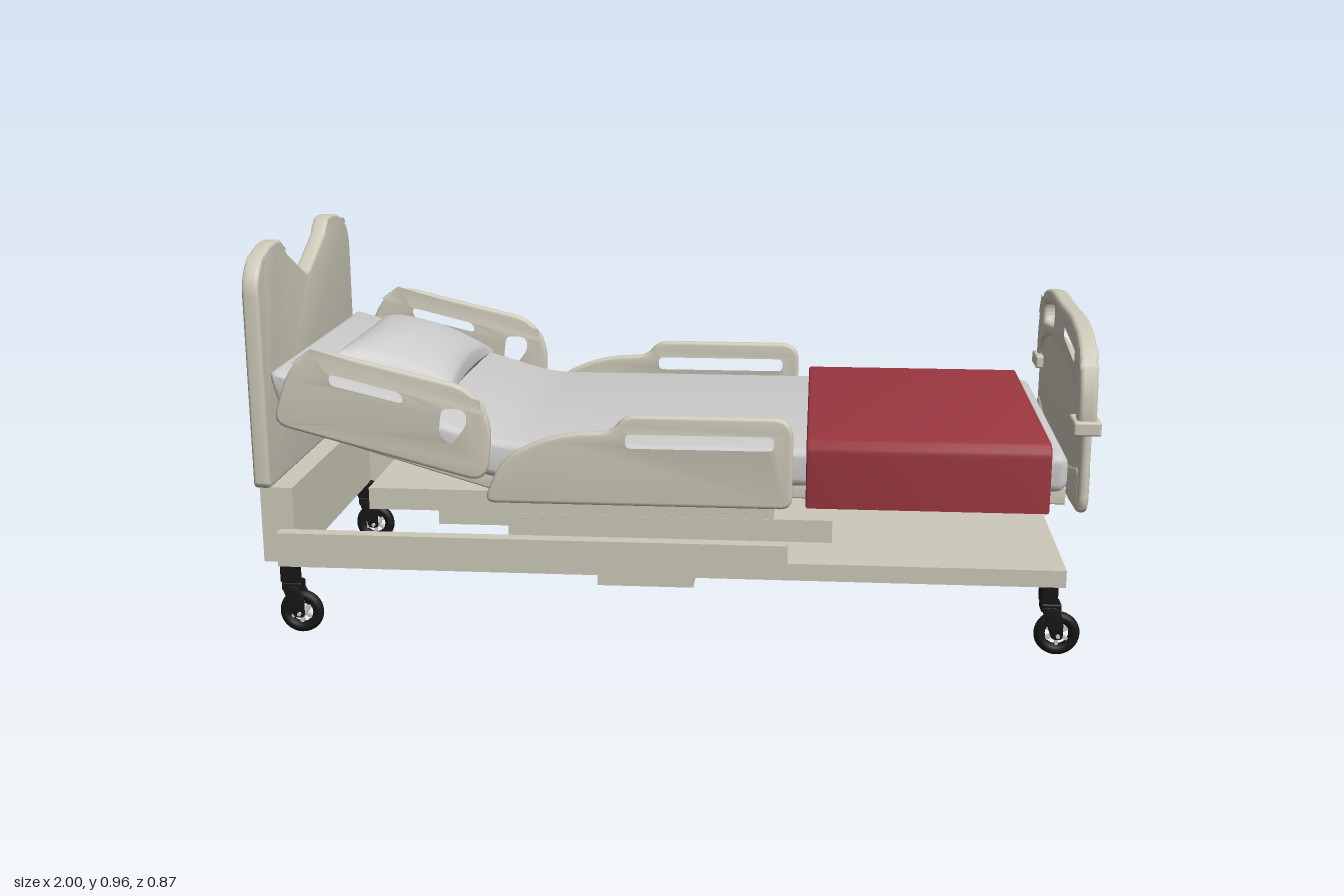
import * as THREE from 'three';
import { toCreasedNormals } from 'three/addons/utils/BufferGeometryUtils.js';
import { RoundedBoxGeometry } from 'three/addons/geometries/RoundedBoxGeometry.js';

const mat = (color) => new THREE.MeshStandardMaterial({ color });
const beige = mat(0xcdc9b9), grey = mat(0xcccccc), red = mat(0x9c3740), black = mat(0x161616);

function add(parent, name, geometry, material, x = 0, y = 0, z = 0) {
  const m = new THREE.Mesh(geometry, material);
  m.name = name;
  m.position.set(x, y, z);
  parent.add(m);
  return m;
}

// Box given by its limits on each axis
function block(parent, name, [x0, x1], [y0, y1], [z0, z1], material = beige, r = 0) {
  const s = [x1 - x0, y1 - y0, z1 - z0];
  const g = r ? new RoundedBoxGeometry(...s, 3, r) : new THREE.BoxGeometry(...s);
  return add(parent, name, g, material, (x0 + x1) / 2, (y0 + y1) / 2, (z0 + z1) / 2);
}

// Closed outline from corners [x, y, cornerLength]
function rounded(corners, path = new THREE.Shape()) {
  const n = corners.length;
  corners.forEach(([x, y, r = 0], i) => {
    const c = new THREE.Vector2(x, y);
    const toward = ([px, py]) => {
      const d = new THREE.Vector2(px, py).sub(c);
      return c.clone().addScaledVector(d.normalize(), r);
    };
    const a = toward(corners[(i + n - 1) % n]), b = toward(corners[(i + 1) % n]);
    if (i === 0) path.moveTo(a.x, a.y); else path.lineTo(a.x, a.y);
    if (r) path.quadraticCurveTo(x, y, b.x, b.y);
  });
  path.closePath();
  return path;
}

// Slab with softened edges, centred on its thickness
function slab(outline, holes, thick, bevel) {
  const shape = rounded(outline);
  shape.holes = holes.map((h) => rounded(h, new THREE.Path()));
  const g = new THREE.ExtrudeGeometry(shape, {
    depth: thick - 2 * bevel, bevelEnabled: true, bevelThickness: bevel, bevelSize: bevel,
    bevelOffset: -bevel, bevelSegments: 3, curveSegments: 8,
  });
  g.translate(0, 0, bevel - thick / 2);
  return toCreasedNormals(g, 0.7);
}

// Half outline plus its mirror image
const mirror = (half) => [...half, ...half.filter((p) => p[0] !== 0).reverse().map(([x, y, r]) => [-x, y, r])];

function caster(parent, x, z) {
  const g = new THREE.Group();
  g.name = 'caster';
  g.position.set(x, 0, z);
  parent.add(g);
  block(g, 'casterStem', [-0.021, 0.021], [0.132, 0.182], [-0.021, 0.021], black, 0.005);
  block(g, 'casterNeck', [-0.018, 0.03], [0.112, 0.134], [-0.022, 0.022], black, 0.005);
  for (const s of [-1, 1]) {
    const fork = [[-0.018, 0.125, 0.005], [-0.005, 0.09, 0.01], [0.01, 0.045, 0.01], [0.036, 0.045, 0.01], [0.036, 0.1, 0.015], [0.02, 0.125, 0.01]];
    add(g, 'casterFork', slab(fork, [], 0.005, 0.001), black, 0, 0, s * 0.021);
  }
  const wheel = new THREE.Group();
  wheel.name = 'casterWheel';
  wheel.position.set(0.024, 0.055, 0);
  g.add(wheel);
  add(wheel, 'tire', new THREE.TorusGeometry(0.041, 0.0135, 12, 32), black);
  add(wheel, 'hub', new THREE.CylinderGeometry(0.014, 0.014, 0.03, 16).rotateX(Math.PI / 2), grey);
  add(wheel, 'axle', new THREE.CylinderGeometry(0.005, 0.005, 0.06, 10).rotateX(Math.PI / 2), grey);
  for (let i = 0; i < 6; i++) {
    const spoke = new THREE.BoxGeometry(0.008, 0.034, 0.012).translate(0, 0.018, 0).rotateZ(i * Math.PI / 3);
    add(wheel, 'spoke', spoke, grey);
  }
}

function headboard(parent) {
  const outline = mirror([
    [0, 0.837, 0.02], [0.17, 0.92, 0.02], [0.195, 0.957, 0.03], [0.3, 0.957, 0.06],
    [0.4, 0.905, 0.06], [0.4, 0.378, 0.02],
  ]);
  add(parent, 'headboard', slab(outline, [], 0.04, 0.008).rotateY(Math.PI / 2), beige, -0.98);
}

function footboard(parent) {
  const g = new THREE.Group();
  g.name = 'footboard';
  g.position.x = 0.967;
  parent.add(g);
  const piece = (name, outline, holes, t, b) =>
    add(g, name, slab(outline, holes, t, b).rotateY(Math.PI / 2), beige);
  piece('footPanel', mirror([[0, 0.69, 0.1], [0.21, 0.68, 0.08], [0.355, 0.64, 0.06], [0.385, 0.5, 0.05],
    [0.39, 0.362, 0.03], [0, 0.346, 0.25]]), [], 0.024, 0.006);
  piece('footBumper', mirror([[0, 0.42, 0.15], [0.22, 0.43, 0.08], [0.37, 0.47, 0.02], [0.37, 0.368, 0.02], [0, 0.352, 0.2]]), [], 0.034, 0.008);
  // Upper arch with two grip openings
  const grip = [[0.29, 0.685, 0.025], [0.3, 0.738, 0.025], [0.088, 0.762, 0.025], [0.088, 0.712, 0.025]];
  const arch = [
    ...mirror([[0, 0.788, 0.05], [0.17, 0.792, 0.04], [0.33, 0.768, 0.07], [0.39, 0.68, 0.07], [0.39, 0.555, 0.01]]).slice(0, 5),
    [0.355, 0.555, 0.01], [0.345, 0.62, 0.04], [0.2, 0.67, 0.08], [0, 0.683, 0.1],
    [-0.2, 0.67, 0.08], [-0.345, 0.62, 0.04], [-0.355, 0.555, 0.01],
    [-0.39, 0.555, 0.01], [-0.39, 0.68, 0.07], [-0.33, 0.768, 0.07], [-0.17, 0.792, 0.04],
  ];
  piece('footArch', arch, [grip, grip.map(([x, y, r]) => [-x, y, r])], 0.044, 0.012);
  // Rounded rim along the sides and bottom
  const rim = [[-0.378, 0.56], [-0.38, 0.42], [-0.375, 0.378], [-0.3, 0.366], [0, 0.36], [0.3, 0.366], [0.375, 0.378], [0.38, 0.42], [0.378, 0.56]];
  const curve = new THREE.CatmullRomCurve3(rim.map(([z, y]) => new THREE.Vector3(0, y, z)));
  add(g, 'footRim', new THREE.TubeGeometry(curve, 64, 0.013, 10), beige);
  for (const s of [-1, 1]) {
    add(g, 'footClasp', new RoundedBoxGeometry(0.064, 0.034, 0.085, 3, 0.006), beige, 0, 0.568, s * 0.358);
  }
}

function sideRails(parent, s) {
  const head = [
    [-0.935, 0.55, 0.04], [-0.89, 0.69, 0.06], [-0.83, 0.735, 0.05], [-0.45, 0.645, 0.06],
    [-0.408, 0.56, 0.05], [-0.425, 0.415, 0.05],
  ];
  const headSlots = [
    [[-0.80, 0.685, 0.024], [-0.61, 0.638, 0.024], [-0.61, 0.595, 0.02], [-0.80, 0.64, 0.02]],
    [[-0.535, 0.605, 0.025], [-0.465, 0.605, 0.03], [-0.455, 0.56, 0.025], [-0.505, 0.495, 0.02], [-0.545, 0.53, 0.02]],
  ];
  const middle = [
    [-0.435, 0.368, 0.03], [-0.39, 0.48, 0.06], [-0.26, 0.543, 0.08], [-0.125, 0.548, 0.03], [-0.1, 0.588, 0.03],
    [0.295, 0.588, 0.05], [0.295, 0.368, 0.03],
  ];
  const slot = [[-0.105, 0.552, 0.025], [0.26, 0.552, 0.025], [0.26, 0.5, 0.025], [-0.105, 0.5, 0.025]];
  add(parent, 'headSideRail', slab(head, headSlots, 0.022, 0.009), beige, 0, 0, s * 0.423);
  add(parent, 'middleSideRail', slab(middle, [slot], 0.022, 0.009), beige, 0, 0, s * 0.423);
}

function pillow(parent) {
  const g = new THREE.Group();
  g.name = 'pillow';
  g.position.set(-0.68, 0.637, 0.018);
  g.rotation.z = -0.29;
  parent.add(g);
  for (const side of [1, -1]) {
    const geo = new THREE.PlaneGeometry(2, 2, 32, 32).rotateX(-side * Math.PI / 2);
    const p = geo.attributes.position;
    for (let i = 0; i < p.count; i++) {
      const u = p.getX(i), v = p.getZ(i);
      const puff = Math.pow(Math.max(0, (1 - u * u) * (1 - v * v)), 0.45);
      const crease = 1 + 0.07 * Math.sin(5 * u + 2 * v) * u * v;
      // Sides pull in between the four corners
      p.setXYZ(i, u * 0.157 * (1 - 0.1 * (1 - v * v)), side * 0.068 * puff * crease, v * 0.255 * (1 - 0.07 * (1 - u * u)));
    }
    geo.computeVertexNormals();
    add(g, side > 0 ? 'pillowTop' : 'pillowUnderside', geo, grey);
  }
}

export function createModel() {
  const bed = new THREE.Group();
  bed.name = 'hospitalBed';

  // Base frame: rails, floor plate open below the head, foot slab
  for (const s of [-1, 1]) {
    const z = s > 0 ? [0.355, 0.39] : [-0.39, -0.355];
    block(bed, 'baseRail', [-0.955, 0.285], [0.18, 0.265], z);
    sideRails(bed, s);
    for (const x of [-0.935, 0.905]) caster(bed, x, s * 0.357);
  }
  block(bed, 'basePlate', [-0.42, 0.285], [0.18, 0.205], [-0.355, 0.355]);
  block(bed, 'footSlab', [0.285, 0.94], [0.18, 0.222], [-0.39, 0.39]);
  block(bed, 'headBase', [-1, -0.92], [0.18, 0.37], [-0.355, 0.355]);
  block(bed, 'motorHousing', [-0.19, 0.05], [0.1, 0.18], [-0.25, 0.24]);

  // Stepped lift platform
  block(bed, 'liftLower', [-0.39, 0.39], [0.265, 0.32], [-0.355, 0.355]);
  block(bed, 'liftMiddle', [-0.56, 0.25], [0.288, 0.325], [-0.354, 0.354]);
  block(bed, 'liftUpper', [-0.73, 0.25], [0.322, 0.375], [-0.355, 0.355]);
  block(bed, 'liftColumn', [-0.35, 0.25], [0.2, 0.27], [-0.3, 0.3]);

  // Bent deck and mattress
  const deck = [[-0.92, 0.53], [-0.41, 0.378, 0.03], [0.93, 0.378], [0.93, 0.42], [-0.4, 0.42, 0.03], [-0.92, 0.57]];
  add(bed, 'deck', slab(deck, [], 0.74, 0.004), beige);
  const mattress = [
    [-0.925, 0.56, 0.03], [-0.4, 0.412, 0.05], [0.93, 0.412, 0.03], [0.93, 0.505, 0.03],
    [-0.39, 0.505, 0.06], [-0.955, 0.675, 0.035],
  ];
  add(bed, 'mattress', slab(mattress, [], 0.79, 0.02), grey);
  pillow(bed);

  // Blanket folded over both sides, hanging lower at the back
  const cover = [
    [-0.405, 0.365], [-0.405, 0.53, 0.035], [0.415, 0.53, 0.035], [0.415, 0.265],
    [0.393, 0.265], [0.393, 0.508, 0.02], [-0.383, 0.508, 0.02], [-0.383, 0.365],
  ];
  add(bed, 'blanket', slab(cover, [], 0.565, 0.006).rotateY(Math.PI / 2), red, 0.608);

  headboard(bed);
  footboard(bed);
  return bed;
}
